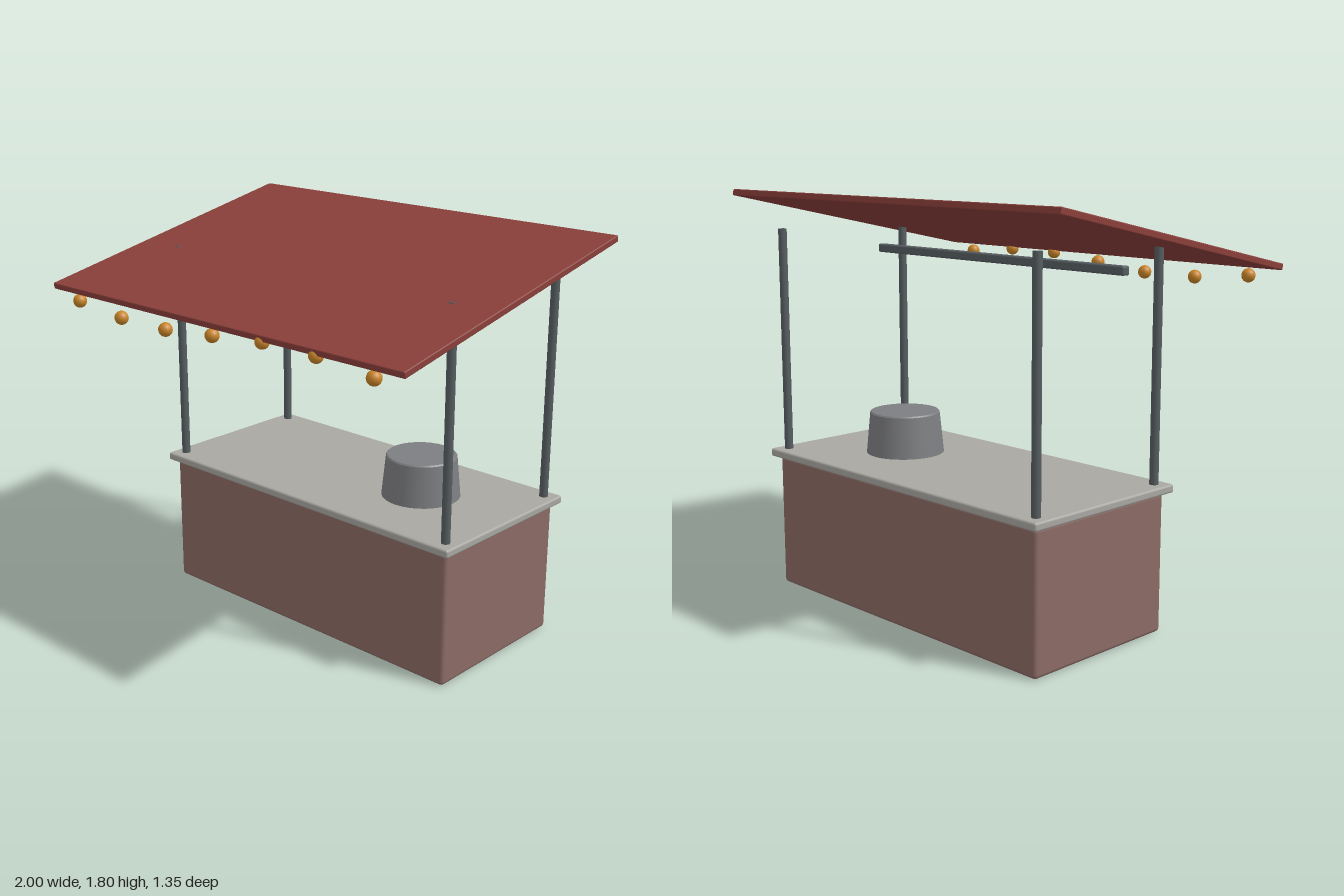
import * as THREE from 'three';
import { RoundedBoxGeometry } from 'three/addons/geometries/RoundedBoxGeometry.js';

const paint = (name, color) => {
  const m = new THREE.MeshStandardMaterial({ color });
  m.name = name;
  return m;
};

export function createModel() {
  const stall = new THREE.Group();
  stall.name = 'marketStall';

  const wood = paint('dusty brown', 0x8a6a64);
  const stone = paint('pale grey', 0xa8a7a2);
  const steel = paint('dark steel', 0x565d60);
  const metal = paint('pot grey', 0x7d7e81);
  const canopy = paint('brick red', 0x8a3f3a);
  const amber = paint('amber', 0xc88428);

  const add = (name, geometry, material, x, y, z) => {
    const mesh = new THREE.Mesh(geometry, material);
    mesh.name = name;
    mesh.position.set(x, y, z);
    stall.add(mesh);
    return mesh;
  };

  const midZ = -0.217; // centre line of the counter

  // Counter body and worktop
  add('counterBody', new RoundedBoxGeometry(1.62, 0.6, 0.75, 3, 0.018), wood, 0, 0.3, midZ);
  add('worktop', new RoundedBoxGeometry(1.68, 0.036, 0.813, 3, 0.01), stone, 0, 0.617, midZ);

  // Four posts
  const postGeo = new THREE.CylinderGeometry(0.019, 0.019, 1.0, 16);
  for (const x of [-0.783, 0.783]) {
    for (const z of [0.128, -0.563]) add('post', postGeo, steel, x, 1.129, z);
  }

  // Hanging rail under the roof
  add('rail', new RoundedBoxGeometry(1.5, 0.038, 0.04, 2, 0.008), steel, 0, 1.516, -0.029);

  // Sloping roof, low at the front
  const roof = add('roof', new RoundedBoxGeometry(2, 0.028, 1.371, 2, 0.005), canopy, 0, 1.643, 0);
  roof.rotation.x = THREE.MathUtils.degToRad(12);

  // Tapered pot with a slightly eased rim
  const potProfile = [[0, 0], [0.174, 0], [0.174, 0], [0.156, 0.182], [0.156, 0.182], [0.151, 0.188], [0.151, 0.188], [0, 0.188]]
    .map(([r, y]) => new THREE.Vector2(r, y));
  add('pot', new THREE.LatheGeometry(potProfile, 32), metal, 0.374, 0.634, midZ);

  // Wavy string of bulbs along the front edge
  const bulbGeo = new THREE.SphereGeometry(0.03, 16, 12);
  for (let i = 0; i < 7; i++) {
    add('bulb', bulbGeo, amber, -0.843 + i * 0.281, 1.456 - 0.031 * Math.sin(i * Math.PI / 3), 0.65);
  }

  return stall;
}
